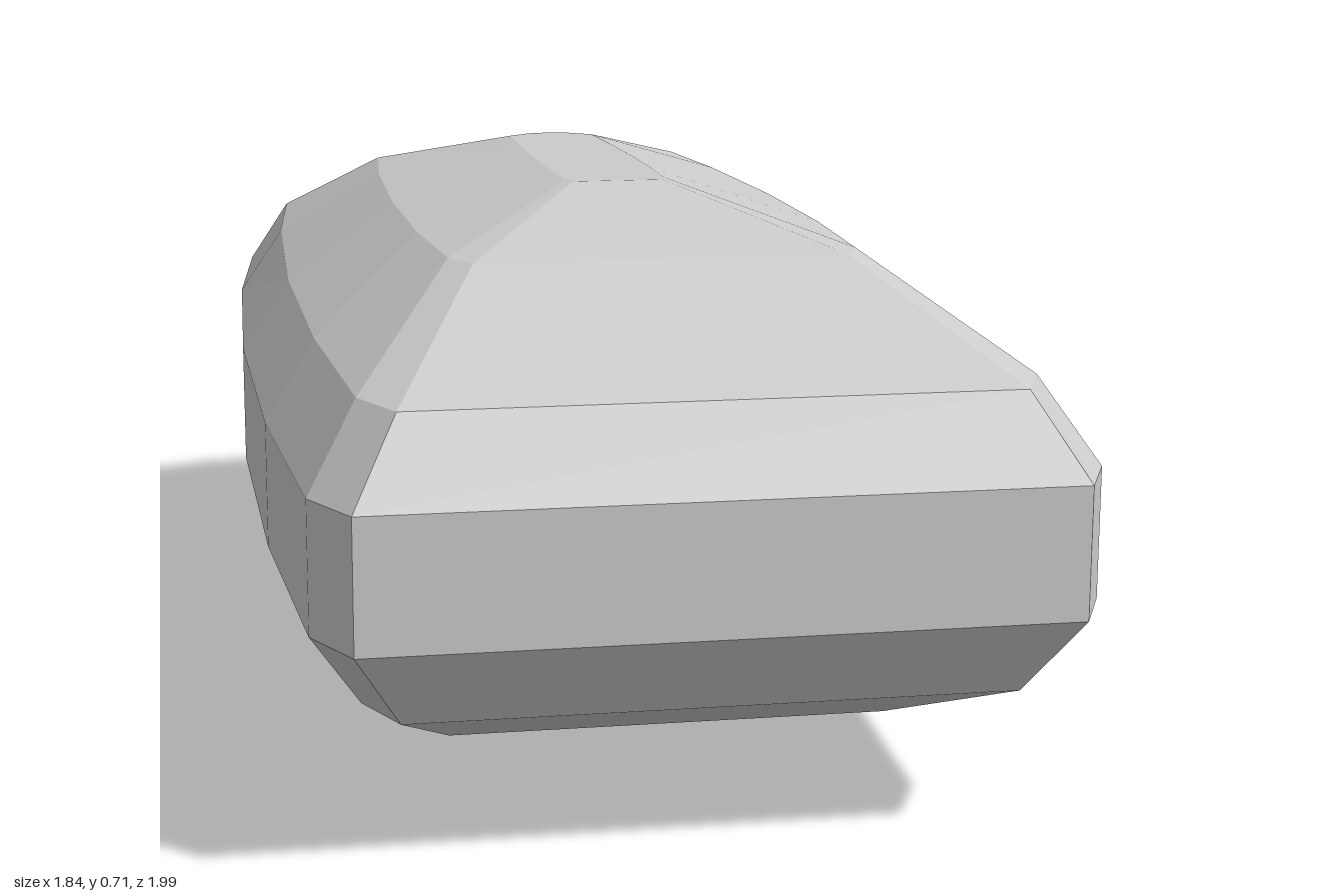
import * as THREE from 'three';

// Half outline of the widest band: [along, across]; flat end first, bowed end last
const half = [
  [-0.938, 0.42], [-0.847, 0.463], [-0.444, 0.486], [0.061, 0.49], [0.582, 0.468],
  [0.93, 0.434], [1.012, 0.21], [1.033, 0],
];

// Levels from bottom to top: height, scale of flat end, scale of bowed end, scale of width
const levels = [
  [0, 0.26, 0.35, 0.145],
  [0.07, 0.64, 0.655, 0.66],
  [0.18, 0.93, 0.94, 0.865],
  [0.28, 1, 1, 1],
  [0.44, 1, 1, 1],
  [0.54, 0.93, 0.94, 0.865],
  [0.65, 0.58, 0.63, 0.56],
  [0.71, 0.26, 0.35, 0.145],
];

function pebbleGeometry() {
  const mirrored = half.slice(0, -1).reverse().map(([s, t]) => [s, -t]);
  const outline = [...half, ...mirrored];
  const n = outline.length;
  const positions = [];
  const index = [];
  for (const [y, flat, bowed, width] of levels) {
    for (const [s, t] of outline) positions.push(s * (s < 0 ? flat : bowed), y, t * width);
  }
  // Bands between neighbouring levels
  for (let k = 0; k < levels.length - 1; k++) {
    for (let i = 0; i < n; i++) {
      const j = (i + 1) % n;
      const a = k * n + i, b = k * n + j;
      index.push(a, b, b + n, a, b + n, a + n);
    }
  }
  // Flat bottom and top
  const top = (levels.length - 1) * n;
  for (let i = 1; i < n - 1; i++) {
    index.push(0, i + 1, i);
    index.push(top, top + i, top + i + 1);
  }
  const geometry = new THREE.BufferGeometry();
  geometry.setAttribute('position', new THREE.Float32BufferAttribute(positions, 3));
  geometry.setIndex(index);
  const faceted = geometry.toNonIndexed();
  faceted.computeVertexNormals();
  return faceted;
}

export function createModel() {
  const group = new THREE.Group();
  const material = new THREE.MeshStandardMaterial({ color: 0xcccccc, flatShading: true });
  const body = new THREE.Mesh(pebbleGeometry(), material);
  body.name = 'facetedBody';
  // The long axis lies diagonally across the ground
  body.rotation.y = 0.893;
  group.add(body);
  return group;
}
